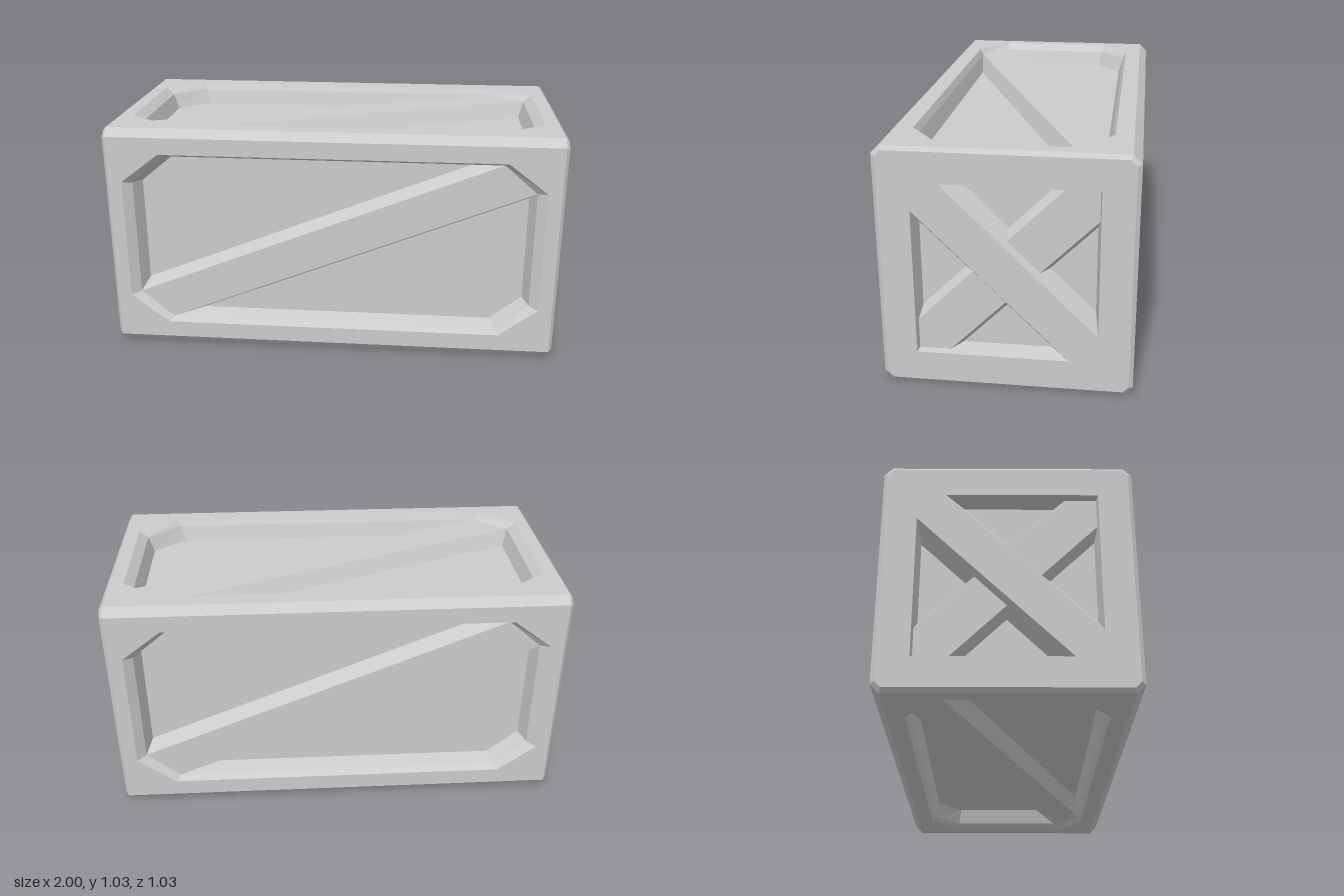
import * as THREE from 'three';

const H = 0.515;      // half height and half depth
const CUT = 0.035;    // chamfer of the long edges
const END = 0.985;    // where the end bevel starts

const material = new THREE.MeshStandardMaterial({ color: 0xcccccc, flatShading: true });

function add(parent, name, geometry) {
  const mesh = new THREE.Mesh(geometry, material);
  mesh.name = name;
  parent.add(mesh);
  return mesh;
}

// Counter-clockwise rectangle with cut corners
const octagon = (x, y, cx, cy) => [
  [x, -cy], [x, cy], [cx, y], [-cx, y], [-x, cy], [-x, -cy], [-cx, -y], [cx, -y],
];
const turned = (points) => points.map(([x, y]) => [-x, -y]);

// Flat polygon facing outward at height z
function flat(outline, z, holes = []) {
  const toVectors = (pts) => pts.map(([x, y]) => new THREE.Vector2(x, y));
  const shape = new THREE.Shape(toVectors(outline));
  holes.forEach((h) => shape.holes.push(new THREE.Path(toVectors(h))));
  return new THREE.ShapeGeometry(shape).translate(0, 0, z);
}

// Band of quads from an outer outline to an inner one
function band(outer, zOuter, inner, zInner) {
  const pos = [];
  outer.forEach((a, i) => {
    const j = (i + 1) % outer.length;
    const p = [...a, zOuter], q = [...outer[j], zOuter];
    const r = [...inner[j], zInner], s = [...inner[i], zInner];
    pos.push(...p, ...q, ...r, ...p, ...r, ...s);
  });
  const g = new THREE.BufferGeometry();
  g.setAttribute('position', new THREE.Float32BufferAttribute(pos, 3));
  g.computeVertexNormals();
  return g;
}

// Long side: frame, stepped recess and one diagonal brace
function longSide() {
  const side = new THREE.Group();
  side.name = 'longSide';
  const w = H - CUT;
  const rim = octagon(0.925, 0.405, 0.755, 0.275);
  const step = octagon(0.885, 0.39, 0.74, 0.265);
  const base = octagon(0.86, 0.37, 0.72, 0.255);
  const zStep = H - 0.03, zFloor = H - 0.1;
  add(side, 'sideFrame', flat([[-END, -w], [END, -w], [END, w], [-END, w]], H, [rim]));
  add(side, 'recessBevel', band(rim, H, step, zStep));
  add(side, 'recessWall', band(step, zStep, base, zFloor));
  add(side, 'recessFloor', flat(base, zFloor));

  const top = [[-0.885, -0.265], [-0.74, -0.39], [0.885, 0.265], [0.74, 0.39]];
  const foot = top.map(([x, y], i) => {
    const s = i === 0 || i === 3 ? 1 : -1;
    return [x - 0.011 * s, y + 0.028 * s];
  });
  add(side, 'diagonalBrace', flat(top, zStep));
  add(side, 'diagonalBraceSides', band(foot, zFloor, top, zStep));

  // Chamfer between this side and the next
  const edge = add(side, 'edgeChamfer', new THREE.PlaneGeometry(2 * END, CUT * Math.SQRT2));
  edge.position.set(0, H - CUT / 2, H - CUT / 2);
  edge.rotation.x = -Math.PI / 4;
  return side;
}

// End: frame with a flush brace, crossed by a lower brace
function endSide() {
  const side = new THREE.Group();
  side.name = 'endSide';
  const c = H - CUT;
  const rim = [[-0.255, 0.37], [0.37, -0.255], [0.37, 0.37]];
  const base = [[-0.18, 0.355], [0.355, -0.18], [0.355, 0.355]];
  const top = [[0, 0.13], [0.13, 0], [0.37, 0.24], [0.37, 0.37], [0.24, 0.37]];
  const foot = [[0, 0.165], [0.165, 0], [0.36, 0.195], [0.36, 0.36], [0.195, 0.36]];
  const zBrace = 1 - 0.03, zFloor = 1 - 0.08;

  const edge = octagon(H, H, c, c);
  const face = octagon(0.498, 0.498, 0.473, 0.473);
  add(side, 'endBevel', band(edge, END, face, 1));
  add(side, 'endFrame', flat(face, 1, [rim, turned(rim)]));
  for (const place of [(p) => p, turned]) {
    add(side, 'pocketWall', band(place(rim), 1, place(base), zFloor));
    add(side, 'pocketFloor', flat(place(base), zFloor));
    add(side, 'crossBrace', flat(place(top), zBrace));
    add(side, 'crossBraceSides', band(place(foot), zFloor, place(top), zBrace));
  }
  return side;
}

export function createModel() {
  const model = new THREE.Group();
  model.name = 'crate';
  const body = new THREE.Group();
  body.name = 'body';
  body.position.y = H;
  model.add(body);

  for (let i = 0; i < 4; i++) {
    const side = longSide();
    side.rotation.x = (i * Math.PI) / 2;
    body.add(side);
  }
  for (const s of [1, -1]) {
    const side = endSide();
    side.rotation.y = (s * Math.PI) / 2;
    body.add(side);
  }
  return model;
}
